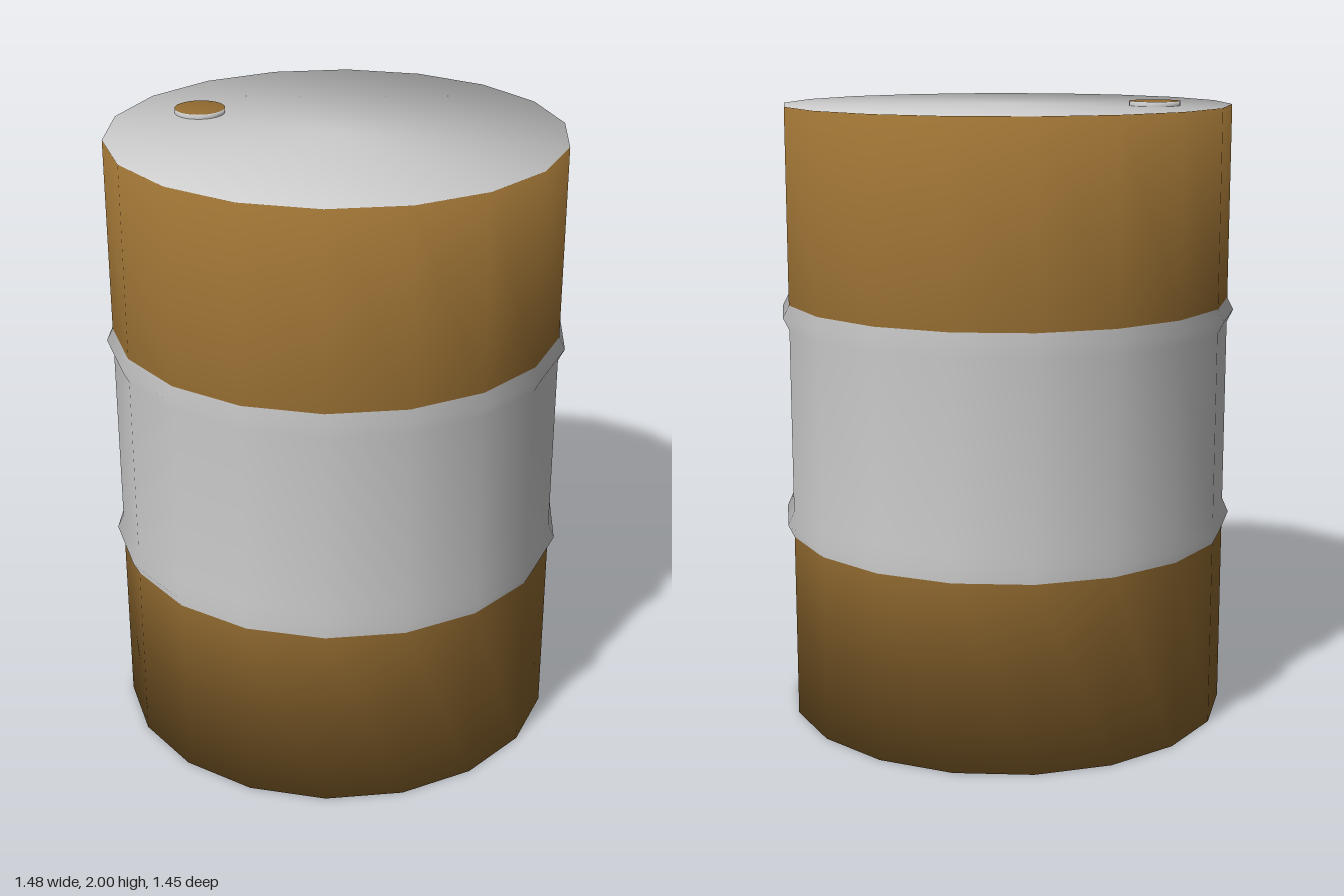
import * as THREE from 'three';

const GREY = 0xcccccc;
const BROWN = 0x946c31;

// Turns one smooth profile, then cuts it into named, coloured sections.
// Each section is [name, first profile segment, end segment, color].
function turned(name, profile, sides, sections) {
  const points = profile.map(([r, y]) => new THREE.Vector2(r, y));
  const lathe = new THREE.LatheGeometry(points, sides, Math.PI / 2);
  const n = points.length;
  const group = new THREE.Group();
  group.name = name;
  for (const [part, first, end, color] of sections) {
    const index = [];
    for (let i = 0; i < sides; i++) {
      for (let j = first; j < end; j++) {
        const a = i * n + j, b = a + n;
        // skip the collapsed triangle where the profile meets the axis
        if (profile[j][0] > 0) index.push(a, b, a + 1);
        if (profile[j + 1][0] > 0) index.push(b + 1, a + 1, b);
      }
    }
    const section = lathe.clone();
    section.setIndex(index);
    const mesh = new THREE.Mesh(section.toNonIndexed(), new THREE.MeshStandardMaterial({ color }));
    mesh.name = part;
    group.add(mesh);
  }
  return group;
}

export function createModel() {
  const model = new THREE.Group();
  model.name = 'drum';

  // Barrel: flat ends and two rolled hoops, shaded smoothly over the corners
  const R = 0.718, HOOP = 0.738, TOP = 1.985;
  model.add(turned('barrel', [
    [0, 0], [R, 0],
    [R, 0.605], [HOOP, 0.645], [R, 0.69],
    [R, 1.285], [HOOP, 1.325], [R, 1.365],
    [R, TOP], [0, TOP],
  ], 18, [
    ['lowerBody', 0, 2, BROWN],
    ['lowerHoop', 2, 4, GREY],
    ['middleBand', 4, 5, GREY],
    ['upperHoop', 5, 7, GREY],
    ['upperBody', 7, 8, BROWN],
    ['lid', 8, 9, GREY],
  ]));

  // Filler plug on the lid
  const plug = turned('plug', [[0.08, 0], [0.08, 0.015], [0, 0.015]], 32, [
    ['plugRim', 0, 1, GREY],
    ['plugCap', 1, 2, BROWN],
  ]);
  plug.position.set(-0.47, TOP, -0.105);
  model.add(plug);

  return model;
}
